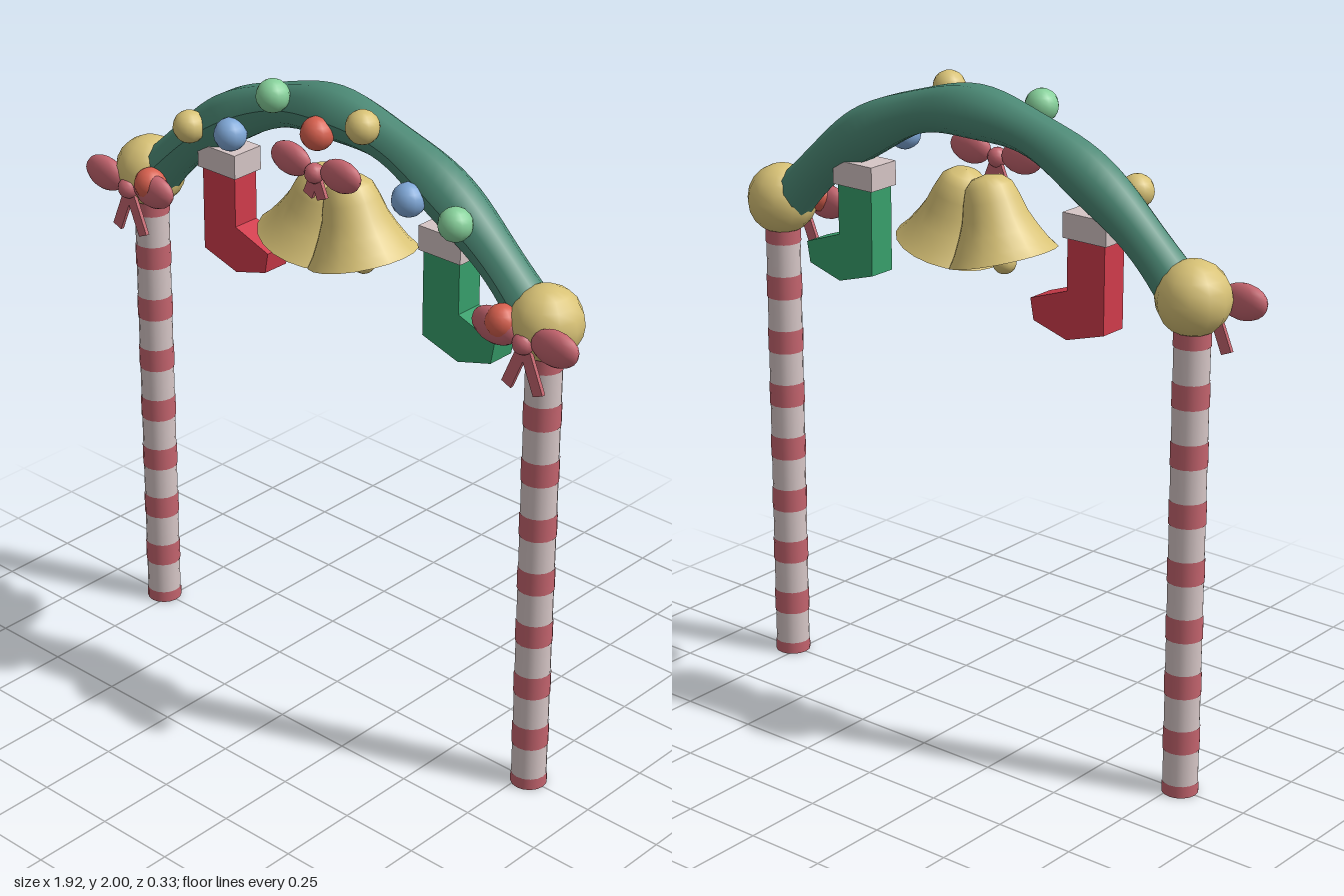
import * as THREE from 'three';

const mat = (name, color, side = THREE.FrontSide) => {
  const m = new THREE.MeshStandardMaterial({ color, side });
  m.name = name;
  return m;
};
const M = {
  white: mat('warm white', 0xd6c6c6),
  candy: mat('candy red', 0xc4646e),
  garland: mat('garland green', 0x4c8a76),
  gold: mat('gold', 0xd8c276, THREE.DoubleSide),
  mint: mat('mint green', 0x86d09a),
  blue: mat('soft blue', 0x7fa8d8),
  coral: mat('coral red', 0xd8604e),
  red: mat('stocking red', 0xd23c4c),
  green: mat('stocking green', 0x38a06c),
};

function add(parent, name, geometry, material, x = 0, y = 0, z = 0) {
  const mesh = new THREE.Mesh(geometry, material);
  mesh.name = name;
  mesh.position.set(x, y, z);
  parent.add(mesh);
  return mesh;
}

function group(parent, name, x = 0, y = 0, z = 0) {
  const g = new THREE.Group();
  g.name = name;
  g.position.set(x, y, z);
  parent.add(g);
  return g;
}

// Striped post with a gold finial
function makePost(parent, x) {
  const post = group(parent, 'post', x);
  const top = 1.45, pitch = 0.1775, half = 0.037;
  add(post, 'pole', new THREE.CylinderGeometry(0.053, 0.053, top, 16), M.white, 0, top / 2);
  for (let k = 0; k <= 8; k++) {
    const y0 = Math.max(0, k * pitch - half);
    const y1 = Math.min(top, k * pitch + half);
    add(post, 'stripe', new THREE.CylinderGeometry(0.055, 0.055, y1 - y0, 16, 1, true),
      M.candy, 0, (y0 + y1) / 2);
  }
  add(post, 'finial', new THREE.SphereGeometry(0.11, 12, 10), M.gold, 0, 1.52);
}

// Bow with two puffed loops, a knot and two splayed tails
function makeBow(parent, x, y, size, tailLength) {
  const bow = group(parent, 'bow', x, y, 0.09);
  for (const s of [-1, 1]) {
    const loop = add(bow, 'bowLoop', new THREE.SphereGeometry(1, 14, 10), M.candy, s * 0.105 * size, 0.018 * size, 0);
    loop.scale.set(0.08 * size, 0.054 * size, 0.034 * size);
    loop.rotation.z = s * 0.06;
    const pivot = group(bow, 'bowTail', 0, -0.01, 0);
    pivot.rotation.z = s * 0.4;
    add(pivot, 'ribbon', new THREE.BoxGeometry(0.036, tailLength, 0.012), M.candy, 0, -tailLength / 2, 0);
  }
  add(bow, 'bowKnot', new THREE.SphereGeometry(0.033 * size, 12, 8), M.candy, 0, 0, 0.005);
}

// Stocking with a boxy cuff, toe pointing to +x
function makeStocking(parent, x, material) {
  const stocking = group(parent, 'stocking', x);
  const outline = [[-0.066, 1.64], [-0.066, 1.36], [0.066, 1.32], [0.186, 1.355],
    [0.198, 1.42], [0.066, 1.467], [0.066, 1.64]];
  const shape = new THREE.Shape(outline.map(([px, py]) => new THREE.Vector2(px, py)));
  const depth = 0.09;
  add(stocking, 'sock', new THREE.ExtrudeGeometry(shape, { depth, bevelEnabled: false }),
    material, 0, 0, -depth / 2);
  add(stocking, 'cuff', new THREE.BoxGeometry(0.153, 0.075, 0.11), M.white, 0, 1.663, 0);
}

// Tilted bell with a clapper
function makeBell(parent, s) {
  const bell = group(parent, 'bell', s * 0.1, 1.505, 0);
  bell.rotation.z = s * 0.263;
  const profile = [[0.164, 0], [0.142, 0.03], [0.117, 0.077], [0.098, 0.12], [0.085, 0.169],
    [0.07, 0.212], [0.045, 0.235], [0, 0.245]].map(([r, y]) => new THREE.Vector2(r, y));
  add(bell, 'bellShell', new THREE.LatheGeometry(profile, 20), M.gold);
  add(bell, 'clapper', new THREE.SphereGeometry(0.037, 12, 8), M.gold, 0, -0.015, 0);
}

// Arched garland whose thickness swells gently along its length
function makeGarland(parent) {
  const steps = 48, sides = 10;
  const curve = new THREE.QuadraticBezierCurve3(
    new THREE.Vector3(-0.76, 1.498, 0), new THREE.Vector3(0, 2.342, 0), new THREE.Vector3(0.76, 1.498, 0));
  const geo = new THREE.TubeGeometry(curve, steps, 1, sides, false);
  const pos = geo.attributes.position, v = new THREE.Vector3();
  for (let i = 0; i <= steps; i++) {
    const c = curve.getPointAt(i / steps);
    const r = 0.073 + 0.007 * Math.cos(c.x * Math.PI * 2 / 0.42);
    for (let j = 0; j <= sides; j++) {
      const k = i * (sides + 1) + j;
      v.fromBufferAttribute(pos, k).sub(c).multiplyScalar(r).add(c);
      pos.setXYZ(k, v.x, v.y, v.z);
    }
  }
  geo.computeVertexNormals();
  add(parent, 'garland', geo, M.garland);
}

export function createModel() {
  const arch = new THREE.Group();
  arch.name = 'festiveArch';

  makeGarland(arch);
  for (const s of [-1, 1]) {
    makePost(arch, s * 0.775);
    makeBow(arch, s * 0.775, 1.49, 1, 0.145);
    makeBell(arch, s);
  }
  makeBow(arch, 0, 1.765, 0.92, 0.07);
  makeStocking(arch, -0.435, M.red);
  makeStocking(arch, 0.435, M.green);

  // Baubles along the front of the garland
  const baubles = [
    [-0.69, 1.525, M.coral], [-0.515, 1.76, M.gold], [-0.345, 1.783, M.blue],
    [-0.172, 1.95, M.mint], [0, 1.883, M.coral], [0.172, 1.95, M.gold],
    [0.345, 1.783, M.blue], [0.515, 1.76, M.mint], [0.69, 1.525, M.coral],
  ];
  for (const [x, y, m] of baubles) {
    add(arch, 'bauble', new THREE.SphereGeometry(0.05, 14, 10), m, x, y, 0.083);
  }
  return arch;
}
